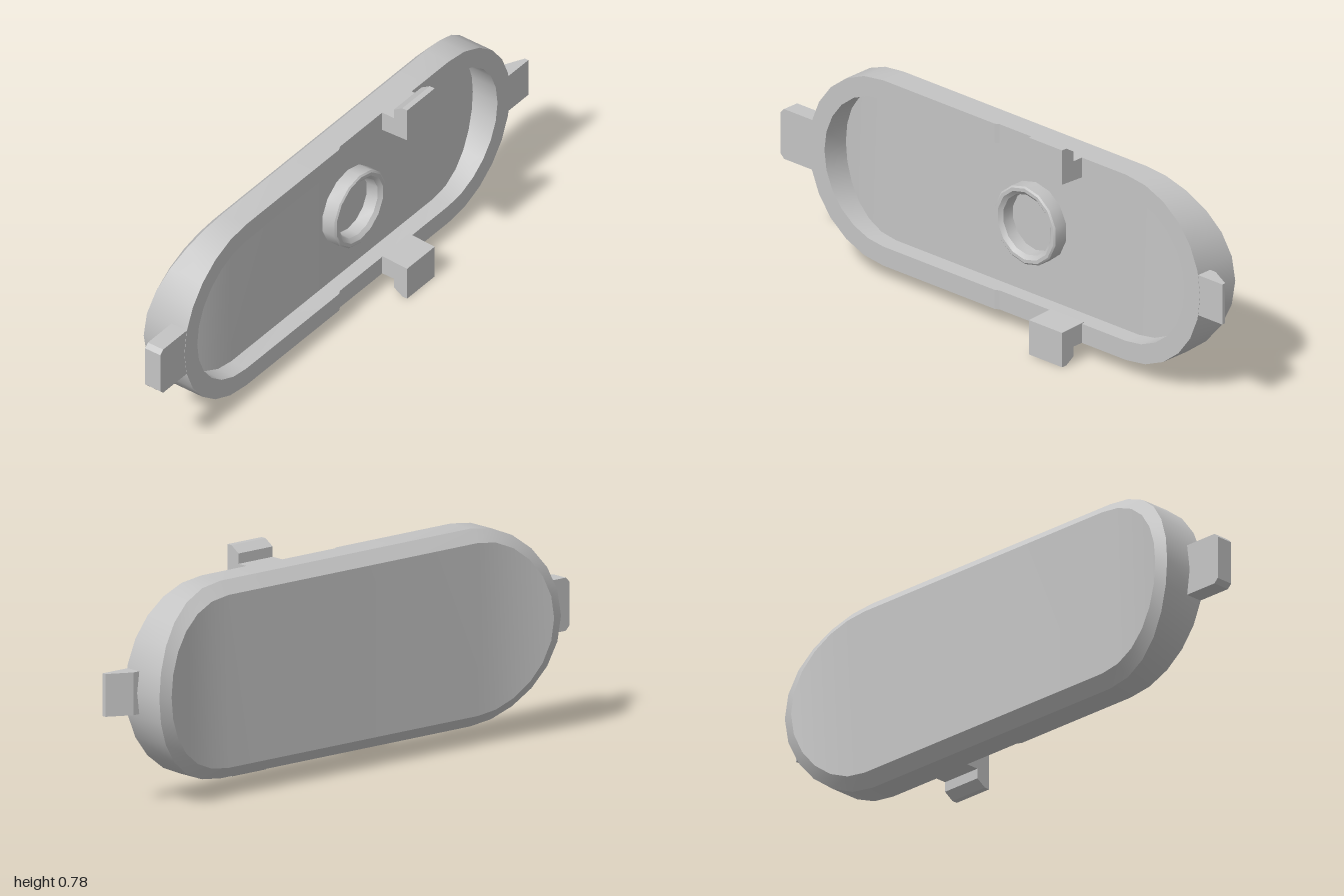
import * as THREE from 'three';
import { toCreasedNormals } from 'three/addons/utils/BufferGeometryUtils.js';

const CX = 0.015, CY = 0.392, HALF = 0.55, FRONT = 0.045;

// How far a point lies into the rounded ends: 0 along the straight, 1 near the tip
const bend = (x) => (Math.max(0, Math.abs(x - CX) - HALF) / 0.3) ** 2;
const backZ = (x) => -0.09 - 0.05 * bend(x);
const edgeZ = (x) => -0.052 - 0.058 * bend(x);
const floorZ = (x) => backZ(x) + 0.073;
// The rim is slightly lowered between the small step and the clips
const rimZ = (x) => (x > -0.02 && x < 0.363 ? 0.037 : FRONT);

// Upper half of a long rounded outline, from left tip to right tip
function upperHalf(r) {
  const pts = [], n = 6;
  for (let i = 0; i <= n; i++) {
    const a = (i / n) * Math.PI / 2;
    pts.push([CX - HALF - r * Math.cos(a), r * Math.sin(a)]);
  }
  for (const x of [-0.03, -0.015, 0.36, 0.365]) pts.push([x, r]);
  for (let i = n; i >= 0; i--) {
    const a = (i / n) * Math.PI / 2;
    pts.push([CX + HALF + r * Math.cos(a), r * Math.sin(a)]);
  }
  return pts;
}

function bodyGeometry() {
  // Loops from the back face, over the bevel, wall and rim, down to the floor
  const sections = [
    [0.293, backZ],
    [0.335, edgeZ],
    [0.335, rimZ],
    [0.266, rimZ],
    [0.264, floorZ],
  ];
  const position = [], index = [];
  const m = upperHalf(0.3).length, n = 2 * m - 2;
  for (const [r, z] of sections) {
    const top = upperHalf(r);
    const bottom = top.slice(1, -1).reverse().map(([x, y]) => [x, -y]);
    for (const [x, y] of [...top, ...bottom]) position.push(x, CY + y, z(x));
  }
  for (let s = 0; s < sections.length - 1; s++) {
    for (let i = 0; i < n; i++) {
      const a = s * n + i, b = s * n + (i + 1) % n;
      index.push(a, a + n, b, b, a + n, b + n);
    }
  }
  // Curved back face and cavity floor, as strips across the height
  const cap = (base, flip) => {
    const tri = (a, b, c) => {
      if (a !== b && b !== c && a !== c) index.push(base + a, base + (flip ? c : b), base + (flip ? b : c));
    };
    for (let i = 0; i < m - 1; i++) {
      const low = (n - i) % n, lowNext = n - i - 1;
      tri(i, low, i + 1);
      tri(i + 1, low, lowNext);
    }
  };
  cap(0, true);
  cap((sections.length - 1) * n, false);
  const g = new THREE.BufferGeometry();
  g.setAttribute('position', new THREE.Float32BufferAttribute(position, 3));
  g.setIndex(index);
  return toCreasedNormals(g, 0.45);
}

function prism(points, depth) {
  const shape = new THREE.Shape(points.map(([x, y]) => new THREE.Vector2(x, y)));
  return new THREE.ExtrudeGeometry(shape, { depth, bevelEnabled: false });
}

export function createModel() {
  const group = new THREE.Group();
  const grey = new THREE.MeshStandardMaterial({ color: 0xc4c4c4 });
  grey.name = 'grey';
  const add = (name, geometry) => {
    const mesh = new THREE.Mesh(geometry, grey);
    mesh.name = name;
    group.add(mesh);
  };

  add('coverShell', bodyGeometry());

  // Round boss on the cavity floor
  const profile = [[0.14, -0.02], [0.14, 0.033], [0.134, 0.038], [0.122, 0.038], [0.108, 0.026], [0.105, -0.02]];
  const boss = new THREE.LatheGeometry(profile.map(([r, y]) => new THREE.Vector2(r, y)), 14);
  boss.rotateX(Math.PI / 2).translate(0.098, 0.395, 0);
  add('boss', toCreasedNormals(boss, 0.5));

  // Snap clips above and below, drawn in z and y
  const clip = [[0.035, 0.655], [0.14, 0.66], [0.14, 0.784], [0.12, 0.784], [0.085, 0.762], [0.085, 0.727], [0.035, 0.727]];
  for (const [name, mirror] of [['upperClip', false], ['lowerClip', true]]) {
    const pts = clip.map(([z, y]) => [z, mirror ? 2 * CY - y : y]);
    add(name, prism(pts, 0.15).rotateY(-Math.PI / 2).translate(0.365, 0, 0));
  }

  // Square tab with trimmed corners
  const tab = [[-0.84, 0.303], [-0.985, 0.303], [-1, 0.318], [-1, 0.468], [-0.985, 0.483], [-0.84, 0.483]];
  add('rightTab', prism(tab, 0.063).translate(0, 0, -0.019));

  // Wedge tab, thinning towards its tip, drawn in x and z
  const wedge = [[0.87, -0.014], [0.915, -0.014], [1, 0.03], [1, 0.044], [0.87, 0.044]];
  add('leftTab', prism(wedge, 0.145).rotateX(Math.PI / 2).translate(0, 0.465, 0));

  return group;
}
